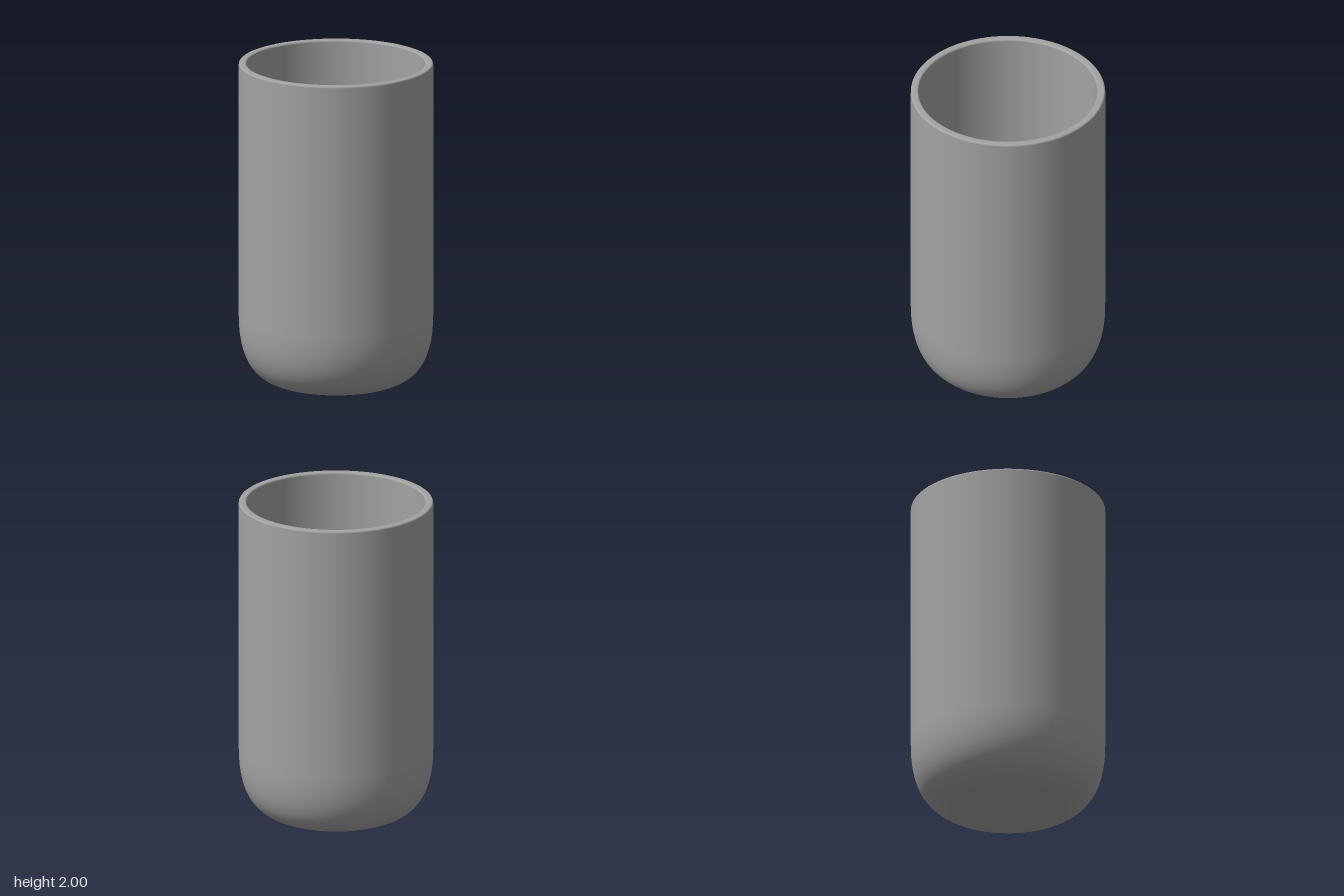
import * as THREE from 'three';

const V = (x, y) => new THREE.Vector2(x, y);

export function createModel() {
  const group = new THREE.Group();
  group.name = 'tumbler';
  const ceramic = new THREE.MeshStandardMaterial({ color: 0xa3a3a3 });
  ceramic.name = 'grey ceramic';

  // Each section is its own lathe, so the edges between sections stay sharp
  const turn = (name, points) => {
    const mesh = new THREE.Mesh(new THREE.LatheGeometry(points, 96), ceramic);
    mesh.name = name;
    group.add(mesh);
  };
  const curve = (a, b, c, d) => new THREE.CubicBezierCurve(a, b, c, d).getPoints(20);

  // Rounded corner of the rim, swept between two angles
  const corner = (cx, cy, r, from, to) => Array.from({ length: 7 }, (_, i) => {
    const a = from + (to - from) * i / 6;
    return V(cx + r * Math.cos(a), cy + r * Math.sin(a));
  });

  const R = 0.592, r = 0.544, bevel = 0.011;

  // Flat foot
  turn('foot', [V(0, 0), V(0.36, 0)]);

  // Outer wall with its rounded lower edge
  turn('outerWall', [
    ...curve(V(0.36, 0), V(0.49, 0.03), V(R, 0.13), V(R, 0.42)),
    V(R, 1.2), V(R, 2 - bevel - 0.01), V(R, 2 - bevel),
  ]);

  // Rim: softened outer edge, flat top, softened inner edge
  turn('rim', [
    ...corner(R - bevel, 2 - bevel, bevel, 0, Math.PI / 2),
    V(R - bevel - 0.002, 2), V(r + bevel + 0.002, 2),
    ...corner(r + bevel, 2 - bevel, bevel, Math.PI / 2, Math.PI),
  ]);

  // Inner wall curving down into the floor
  turn('innerWall', [
    V(r, 2 - bevel), V(r, 1.2),
    ...curve(V(r, 0.43), V(r, 0.17), V(0.47, 0.06), V(0.365, 0.05)),
  ]);

  // Flat inside floor
  turn('floor', [V(0.365, 0.05), V(0, 0.05)]);

  return group;
}
